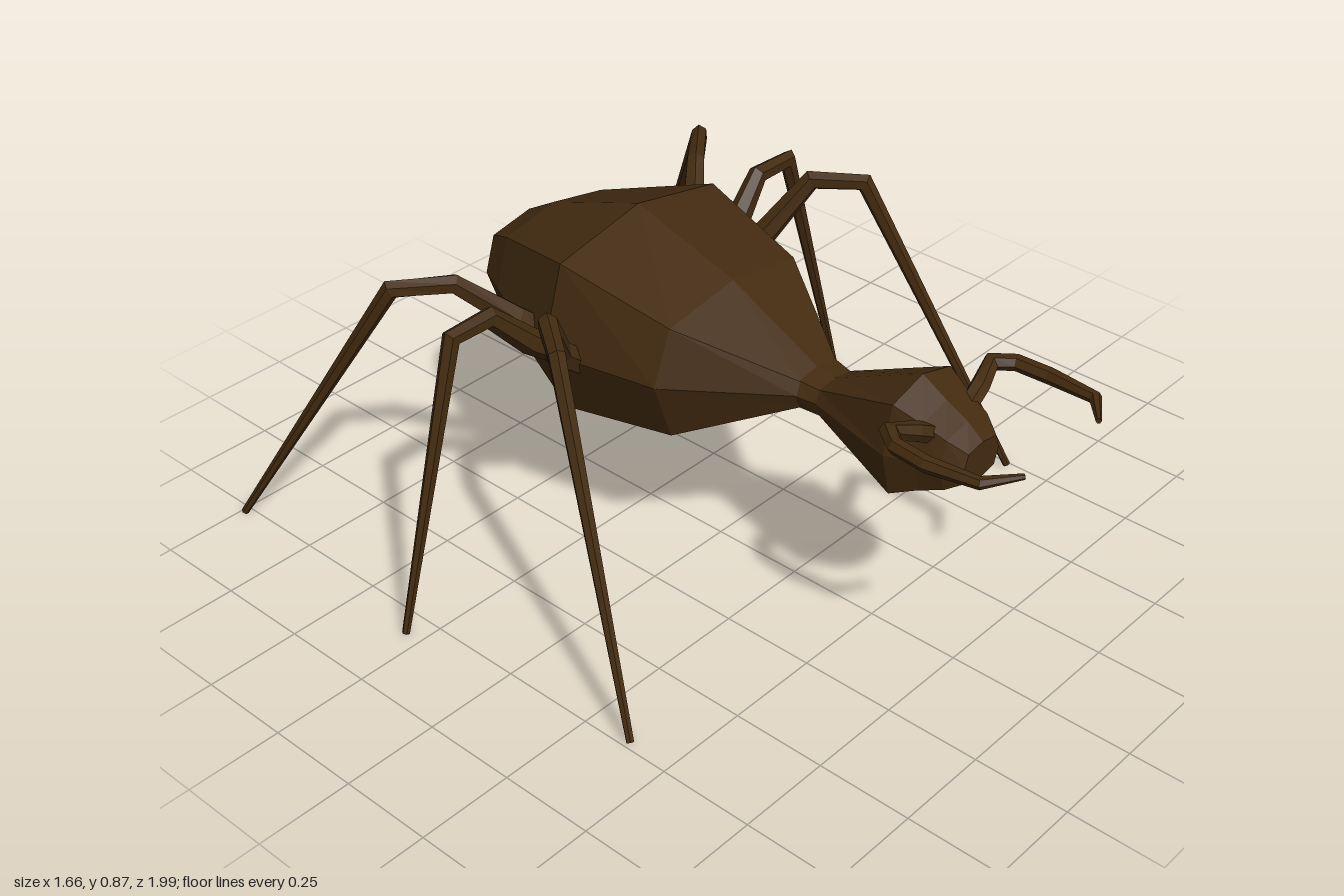
import * as THREE from 'three';

const V = (x, y, z) => new THREE.Vector3(x, y, z);

// Skins a list of rings (each counter-clockwise about the travel direction); ends close to a centre point.
function loft(rings, startTip, endTip) {
  const n = rings[0].length, pts = rings.flat(), index = [];
  const mean = (r) => r.reduce((a, p) => a.add(p), V(0, 0, 0)).divideScalar(n);
  for (let i = 0; i < rings.length - 1; i++) {
    for (let j = 0; j < n; j++) {
      const k = (j + 1) % n;
      const a = i * n + j, b = i * n + k, c = a + n, d = b + n;
      index.push(a, b, d, a, d, c);
    }
  }
  const s = pts.length, e = s + 1, last = (rings.length - 1) * n;
  pts.push(startTip || mean(rings[0]), endTip || mean(rings[rings.length - 1]));
  for (let j = 0; j < n; j++) {
    const k = (j + 1) % n;
    index.push(s, k, j, e, last + j, last + k);
  }
  const g = new THREE.BufferGeometry().setFromPoints(pts);
  g.setIndex(index);
  g.computeVertexNormals();
  return g;
}

// Eight-sided ring across the body at z, with a ridge above, below and on each side.
function bodyRing([z, w, top, mid, bottom]) {
  const hi = mid + (top - mid) * 0.8, lo = mid + (bottom - mid) * 0.77, c = w * 0.8;
  return [V(w, mid, z), V(c, hi, z), V(0, top, z), V(-c, hi, z),
    V(-w, mid, z), V(-c, lo, z), V(0, bottom, z), V(c, lo, z)];
}

// Tapered limb through mitred joints; ref is the axis the limb bends around.
function limb(path, radii, ref, sides = 6) {
  const dirs = path.slice(1).map((p, i) => p.clone().sub(path[i]).normalize());
  return loft(path.map((p, i) => {
    const a = dirs[Math.max(i - 1, 0)], b = dirs[Math.min(i, dirs.length - 1)];
    const t = a.clone().add(b).normalize();
    const u = ref.clone().addScaledVector(t, -ref.dot(t)).normalize();
    const v = t.clone().cross(u).multiplyScalar(1 / Math.max(t.dot(a), 0.7));
    return Array.from({ length: sides }, (_, j) => {
      const q = ((j + 0.5) / sides) * Math.PI * 2;
      return p.clone().addScaledVector(u, radii[i] * Math.cos(q)).addScaledVector(v, radii[i] * Math.sin(q));
    });
  }));
}

export function createModel() {
  const group = new THREE.Group();
  const shell = new THREE.MeshStandardMaterial({ color: 0x432b10, flatShading: true });
  shell.name = 'dark brown shell';
  const add = (name, geometry) => {
    const m = new THREE.Mesh(geometry, shell);
    m.name = name;
    group.add(m);
  };

  // Abdomen, rear to waist: z, half width, top, middle, bottom
  add('abdomen', loft([
    [-0.665, 0.16, 0.71, 0.59, 0.475],
    [-0.57, 0.21, 0.765, 0.6, 0.44],
    [-0.27, 0.34, 0.87, 0.6, 0.35],
    [0.04, 0.28, 0.775, 0.6, 0.39],
    [0.31, 0.08, 0.64, 0.6, 0.55],
  ].map(bodyRing), V(0, 0.585, -0.705)));

  // Neck and head, waist to face
  add('head', loft([
    [0.29, 0.085, 0.645, 0.6, 0.55],
    [0.36, 0.07, 0.635, 0.595, 0.545],
    [0.61, 0.135, 0.755, 0.6, 0.445],
    [0.68, 0.11, 0.715, 0.605, 0.485],
    [0.74, 0.095, 0.685, 0.605, 0.515],
    [0.785, 0.065, 0.65, 0.605, 0.55],
  ].map(bodyRing)));

  // Leg joints from hip to foot
  const legs = {
    frontLeg: [[0.29, 0.58, -0.2], [0.36, 0.64, -0.195], [0.47, 0.805, -0.11], [0.55, 0.805, 0], [0.735, 0.006, 0.38]],
    middleLeg: [[0.29, 0.58, -0.28], [0.37, 0.64, -0.285], [0.48, 0.75, -0.3], [0.6, 0.748, -0.3], [0.82, 0.006, -0.295]],
    backLeg: [[0.26, 0.59, -0.35], [0.32, 0.64, -0.385], [0.43, 0.75, -0.475], [0.55, 0.75, -0.57], [0.772, 0.006, -0.985]],
  };
  // Pincer joints from cheek to tip
  const pincer = [[0.06, 0.66, 0.69], [0.12, 0.695, 0.685], [0.19, 0.72, 0.665], [0.225, 0.72, 0.71],
    [0.232, 0.718, 0.8], [0.218, 0.724, 0.93], [0.14, 0.728, 0.99]];

  for (const [side, s] of [['left', 1], ['right', -1]]) {
    const mirror = (list) => list.map(([x, y, z]) => V(s * x, y, z));
    for (const [name, joints] of Object.entries(legs)) {
      const path = mirror(joints);
      const run = path[4].clone().sub(path[0]);
      add(`${side} ${name}`, limb(path, [0.034, 0.034, 0.025, 0.022, 0.01], V(run.z, 0, -run.x).normalize()));
    }
    add(`${side} pincer`, limb(mirror(pincer), [0.024, 0.024, 0.021, 0.02, 0.02, 0.015, 0.007], V(0, 1, 0)));
  }
  return group;
}
